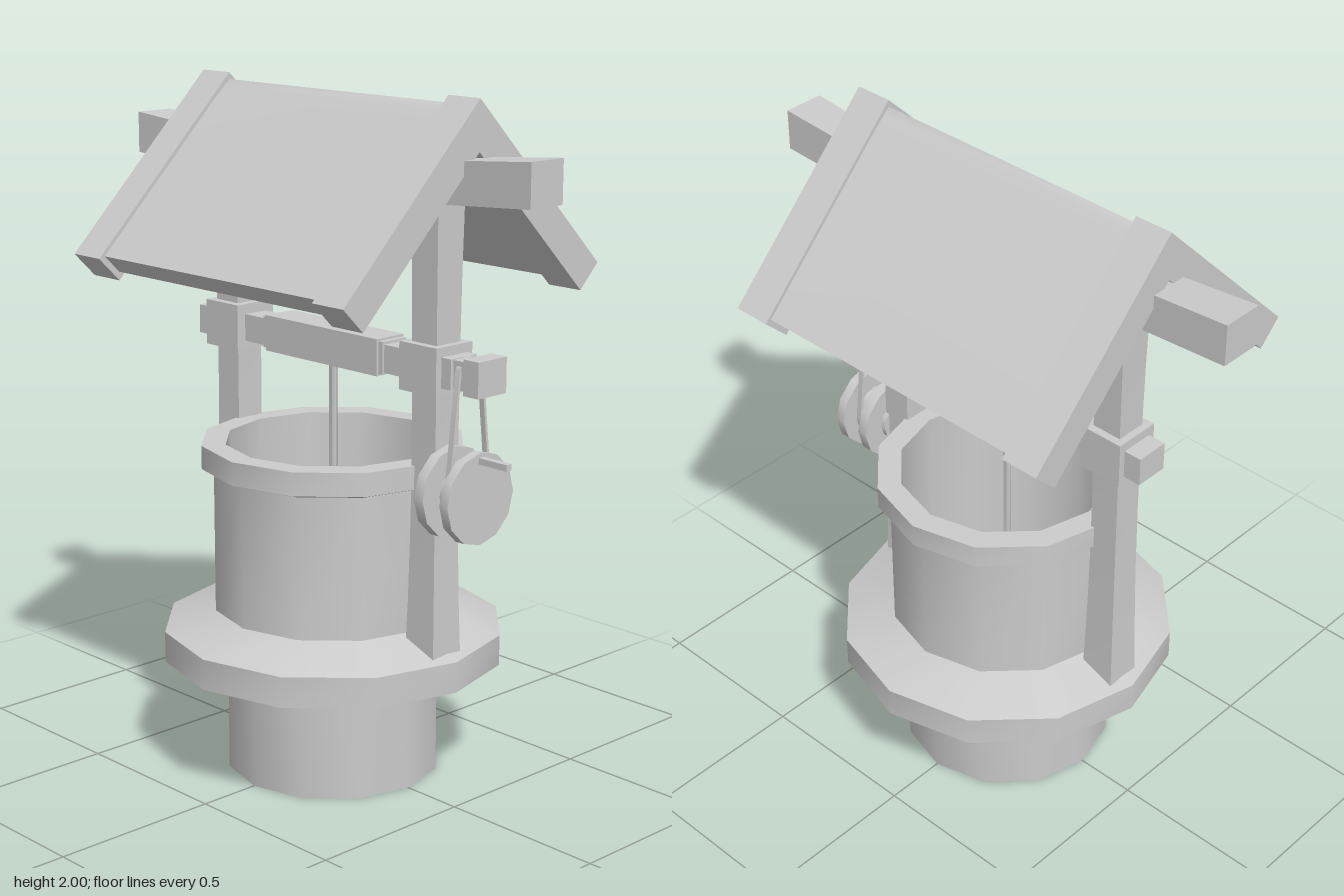
import * as THREE from 'three';
import { toCreasedNormals } from 'three/addons/utils/BufferGeometryUtils.js';

const grey = new THREE.MeshStandardMaterial({ color: 0xcccccc, side: THREE.DoubleSide });

export function createModel() {
  const model = new THREE.Group();
  model.name = 'well';

  const add = (name, geometry, x = 0, y = 0, z = 0, crease = 0.6) => {
    const mesh = new THREE.Mesh(toCreasedNormals(geometry, crease), grey);
    mesh.name = name;
    mesh.position.set(x, y, z);
    model.add(mesh);
    return mesh;
  };
  const box = (name, w, h, z0, z1, y) =>
    add(name, new THREE.BoxGeometry(w, h, z1 - z0), 0, y, (z0 + z1) / 2);
  const disc = (name, r, z0, z1, y, sides = 12) =>
    add(name, new THREE.CylinderGeometry(r, r, z1 - z0, sides).rotateX(Math.PI / 2), 0, y, (z0 + z1) / 2);
  const extrude = (name, shape, z0, z1, curveSegments = 8, crease = 0.6) =>
    add(name, new THREE.ExtrudeGeometry(shape, { depth: z1 - z0, bevelEnabled: false, curveSegments }), 0, 0, z0, crease);
  const polygon = (points) => new THREE.Shape(points.map(([x, y]) => new THREE.Vector2(x, y)));

  // Well wall: inner shaft, rim, outer wall and hollow skirt in one profile
  const wall = [
    [0.315, 0], [0.315, 0.985], [0.385, 0.985], [0.385, 0.917], [0.35, 0.905],
    [0.35, 0.49], [0.5, 0.435], [0.5, 0.345],
  ].map(([r, y]) => new THREE.Vector2(r, y));
  add('wellWall', new THREE.LatheGeometry(wall, 12));

  // Posts, slightly waisted
  for (const [name, s] of [['frontPost', 1], ['backPost', -1]]) {
    const geometry = new THREE.BoxGeometry(0.09, 1.37, 0.09, 1, 6, 1);
    const p = geometry.attributes.position;
    for (let i = 0; i < p.count; i++) {
      const t = p.getY(i) / 0.685;
      const flare = 1 + (t < 0 ? 0.25 : 0.14) * t * t;
      p.setX(i, p.getX(i) * flare);
      p.setZ(i, p.getZ(i) * flare);
    }
    add(name, geometry, 0, 1.055, s * 0.407);
    // Bearing block carrying the axle
    box(s > 0 ? 'frontBearing' : 'backBearing', 0.14, 0.135, s * 0.405 - 0.07, s * 0.405 + 0.07, 1.267);
  }

  // Ridge beam, curving up and thickening toward its ends
  const beam = new THREE.BoxGeometry(0.11, 0.115, 1.58, 1, 1, 8);
  const bp = beam.attributes.position;
  for (let i = 0; i < bp.count; i++) {
    const bend = Math.max(0, Math.abs(bp.getZ(i)) - 0.395) / 0.395;
    bp.setX(i, bp.getX(i) * (1 + 0.12 * bend));
    bp.setY(i, bp.getY(i) * (1 + 0.05 * bend) + 0.03 * bend);
  }
  add('ridgeBeam', beam, 0, 1.772, 0);

  // Roof: a soft-ridged panel between two thicker gable frames
  extrude('roofPanel', polygon([
    [0.47, 1.515], [0.05, 1.935], [0.02, 1.962], [0, 1.98], [-0.02, 1.962], [-0.05, 1.935],
    [-0.47, 1.515], [-0.42, 1.465], [0, 1.885], [0.42, 1.465],
  ]), -0.445, 0.445, 8, 1.5);
  const gable = polygon([[0, 2], [-0.49, 1.51], [-0.42, 1.44], [0, 1.86], [0.42, 1.44], [0.49, 1.51]]);
  extrude('frontGable', gable, 0.44, 0.555);
  extrude('backGable', gable, -0.555, -0.44);

  // Axle with a thick roller and square ends
  box('axle', 0.08, 0.08, -0.5, 0.58, 1.265);
  box('roller', 0.105, 0.105, -0.23, 0.23, 1.267);
  for (const s of [-1, 1]) box('rollerCollar', 0.092, 0.092, s * 0.235 - 0.012, s * 0.235 + 0.012, 1.267);
  box('axleBackEnd', 0.1, 0.085, -0.53, -0.47, 1.265);
  box('axleFrontCollar', 0.1, 0.085, 0.47, 0.51, 1.265);
  box('axleFrontEnd', 0.11, 0.1, 0.56, 0.615, 1.267);

  // Crank wheel: two discs on a hub, with a handle
  disc('innerDisc', 0.13, 0.455, 0.488, 0.925);
  disc('hub', 0.065, 0.44, 0.56, 0.925);
  disc('outerDisc', 0.13, 0.55, 0.58, 0.925);
  box('crankHandle', 0.02, 0.018, 0.57, 0.68, 1.033);

  // Belt looping from the axle around the hub
  const loop = (path, grow) => {
    const top = 0.04 + grow, bottom = 0.077 + grow;
    const a = Math.asin((bottom - top) / 0.34);
    path.absarc(0, 1.265, top, a, Math.PI - a, false);
    path.absarc(0, 0.925, bottom, Math.PI - a, 2 * Math.PI + a, false);
    return path;
  };
  const belt = loop(new THREE.Shape(), 0.008);
  belt.holes.push(loop(new THREE.Path(), 0));
  extrude('belt', belt, 0.523, 0.54);

  // Rope hanging into the shaft
  add('rope', new THREE.CylinderGeometry(0.012, 0.012, 0.7, 6), 0, 0.88, 0, 1.2);

  return model;
}
